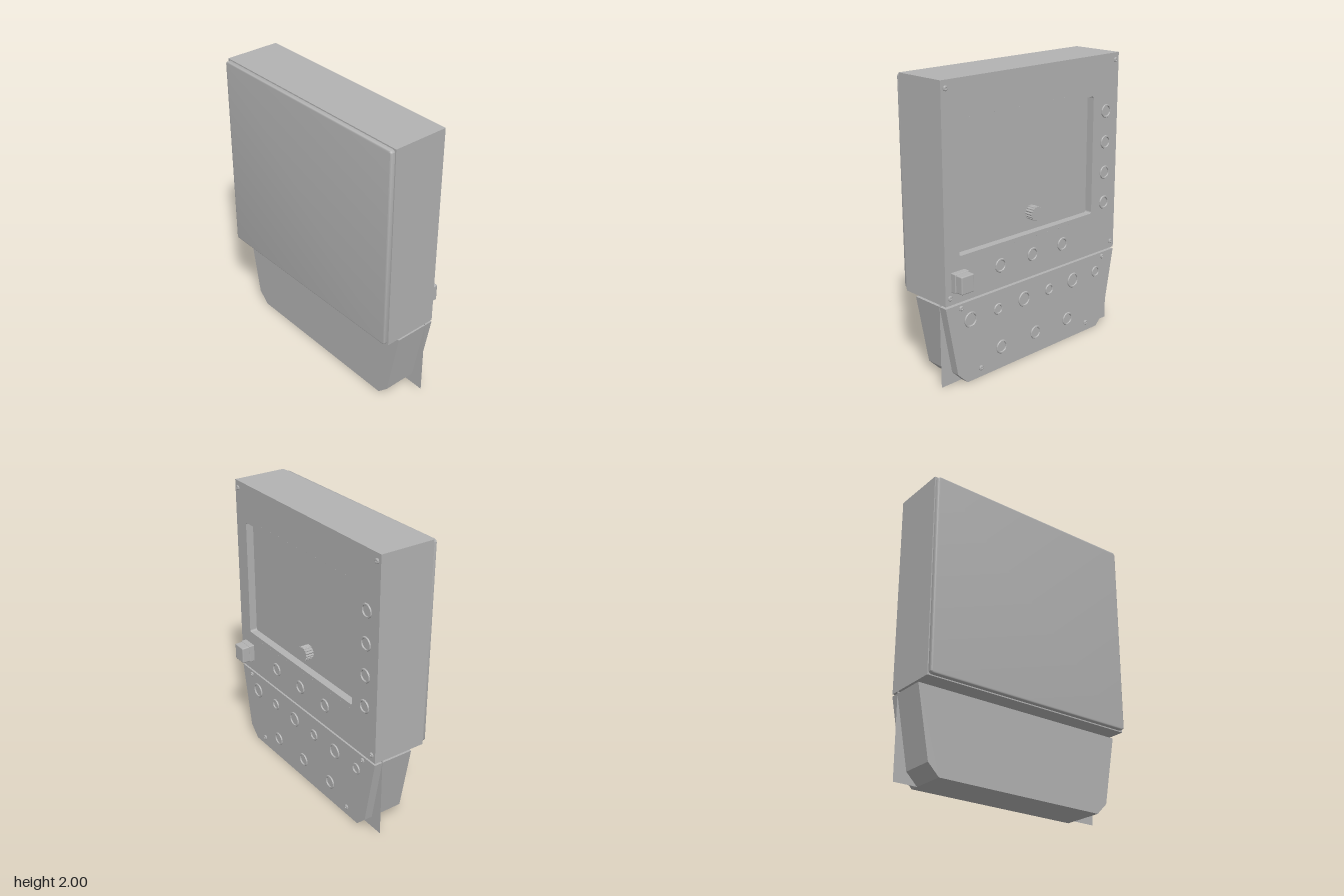
import * as THREE from 'three';
import { toCreasedNormals } from 'three/addons/utils/BufferGeometryUtils.js';
import { RoundedBoxGeometry } from 'three/addons/geometries/RoundedBoxGeometry.js';

const BACK = -0.16;   // plane of the control panel
const FLOOR = -0.105; // bottom of the screen recess

const grey = new THREE.MeshStandardMaterial({ color: 0xb2b2b2 });
grey.name = 'housing grey';
const greySheet = new THREE.MeshStandardMaterial({ color: 0xb2b2b2, side: THREE.DoubleSide });
greySheet.name = 'sheet grey';

function add(parent, name, geometry, x = 0, y = 0, z = 0, material = grey) {
  const mesh = new THREE.Mesh(geometry, material);
  mesh.name = name;
  mesh.position.set(x, y, z);
  parent.add(mesh);
  return mesh;
}

// Rounded rectangle, as a shape or a hole
function roundRect(path, x0, y0, x1, y1, r) {
  path.absarc(x1 - r, y0 + r, r, -Math.PI / 2, 0);
  path.absarc(x1 - r, y1 - r, r, 0, Math.PI / 2);
  path.absarc(x0 + r, y1 - r, r, Math.PI / 2, Math.PI);
  path.absarc(x0 + r, y0 + r, r, Math.PI, Math.PI * 1.5);
  path.closePath();
  return path;
}

function polygon(points) {
  return new THREE.Shape(points.map(([x, y]) => new THREE.Vector2(x, y)));
}

// Turned part whose axis points out of the control panel
function turned(points, segments = 32) {
  const g = new THREE.LatheGeometry(points.map(([r, h]) => new THREE.Vector2(r, h)), segments);
  return toCreasedNormals(g.rotateX(-Math.PI / 2), 0.5);
}

const ringGeometry = (r) => turned([
  [r, -0.002], [r, 0.004], [r - 0.003, 0.009], [r - 0.011, 0.009], [r - 0.014, 0.005], [r - 0.014, -0.002],
]);

export function createModel() {
  const root = new THREE.Group();
  root.name = 'controlCabinet';

  // Upper cabinet: solid body plus a frame around the screen recess
  const cabinet = new THREE.Group();
  cabinet.name = 'cabinet';
  root.add(cabinet);
  add(cabinet, 'cabinetBody', new THREE.BoxGeometry(1.6, 1.42, 0.23 - FLOOR), 0, 1.29, (0.23 + FLOOR) / 2);
  const frame = polygon([[-0.8, 0.58], [0.8, 0.58], [0.8, 2], [-0.8, 2]]);
  frame.holes.push(roundRect(new THREE.Path(), -0.55, 0.888, 0.68, 1.725, 0.015));
  add(cabinet, 'screenFrame',
    new THREE.ExtrudeGeometry(frame, { depth: FLOOR - BACK, bevelEnabled: false, curveSegments: 4 }), 0, 0, BACK);

  // Front door with softened edges
  const door = roundRect(new THREE.Shape(), -0.782, 0.598, 0.782, 1.982, 0.012);
  const doorGeometry = new THREE.ExtrudeGeometry(door, {
    depth: 0.022, bevelEnabled: true, bevelThickness: 0.008, bevelSize: 0.01, bevelSegments: 3, curveSegments: 5,
  });
  add(cabinet, 'door', toCreasedNormals(doorGeometry, 0.6), 0, 0, 0.23);

  // Lower housing with tapered sides
  const lower = new THREE.Group();
  lower.name = 'lowerHousing';
  root.add(lower);
  const taper = polygon([[-0.63, 0], [0.63, 0], [0.71, 0.08], [0.8, 0.565], [-0.8, 0.565], [-0.71, 0.08]]);
  add(lower, 'lowerBody', new THREE.ExtrudeGeometry(taper, { depth: 0.295, bevelEnabled: false }), 0, 0, BACK);
  add(lower, 'mountingSheet', new THREE.PlaneGeometry(1.6, 0.58), 0, 0.29, -0.1, greySheet);

  // Button rings: [x, y, radius]
  const rings = [];
  for (const y of [1.605, 1.385, 1.165, 0.945]) rings.push([-0.68, y, 0.048]);
  for (const x of [0.33, 0.035, -0.255]) rings.push([x, 0.735, 0.048]);
  for (const x of [0.325, 0.003, -0.318]) rings.push([x, 0.154, 0.048]);
  for (let i = 0; i < 6; i++) rings.push([0.595 - i * 0.241, 0.435, i % 2 ? 0.04 : 0.054]);
  for (const [x, y, r] of rings) add(root, 'buttonRing', ringGeometry(r), x, y, BACK);

  // Corner screws
  const screw = turned([[0.017, -0.002], [0.017, 0.006], [0.012, 0.01], [0.007, 0.01], [0.005, 0.005], [0, 0.005]], 16);
  for (const side of [-1, 1]) {
    for (const [x, y] of [[0.765, 1.95], [0.765, 0.63], [0.675, 0.536], [0.513, 0.064]]) {
      add(root, 'screw', screw, side * x, y, BACK);
    }
  }

  // Small studs above and below the screen
  const stud = turned([[0.003, -0.001], [0.003, 0.002], [0, 0.002]], 8);
  for (let i = 0; i < 11; i++) {
    add(root, 'stud', stud, 0.58 - i * 0.105, 1.755, BACK);
    add(root, 'stud', stud, 0.52 - i * 0.105, 0.86, BACK);
  }

  // Fluted knob standing in the recess
  const flutes = [];
  for (let i = 0; i < 64; i++) {
    const a = (i / 64) * Math.PI * 2;
    const r = i % 4 < 2 ? 0.05 : 0.045;
    flutes.push([Math.cos(a) * r, Math.sin(a) * r]);
  }
  add(root, 'knob', new THREE.ExtrudeGeometry(polygon(flutes), { depth: 0.062, bevelEnabled: false }), 0, 1.012, -0.166);

  // Stepped main switch
  const mainSwitch = new THREE.Group();
  mainSwitch.name = 'mainSwitch';
  mainSwitch.position.set(0.693, 0.73, 0);
  root.add(mainSwitch);
  add(mainSwitch, 'switchBase', new RoundedBoxGeometry(0.115, 0.13, 0.06, 2, 0.006), 0, 0, -0.17);
  add(mainSwitch, 'switchHandle', new RoundedBoxGeometry(0.104, 0.12, 0.075, 2, 0.008), 0, 0, -0.2165);

  return root;
}
